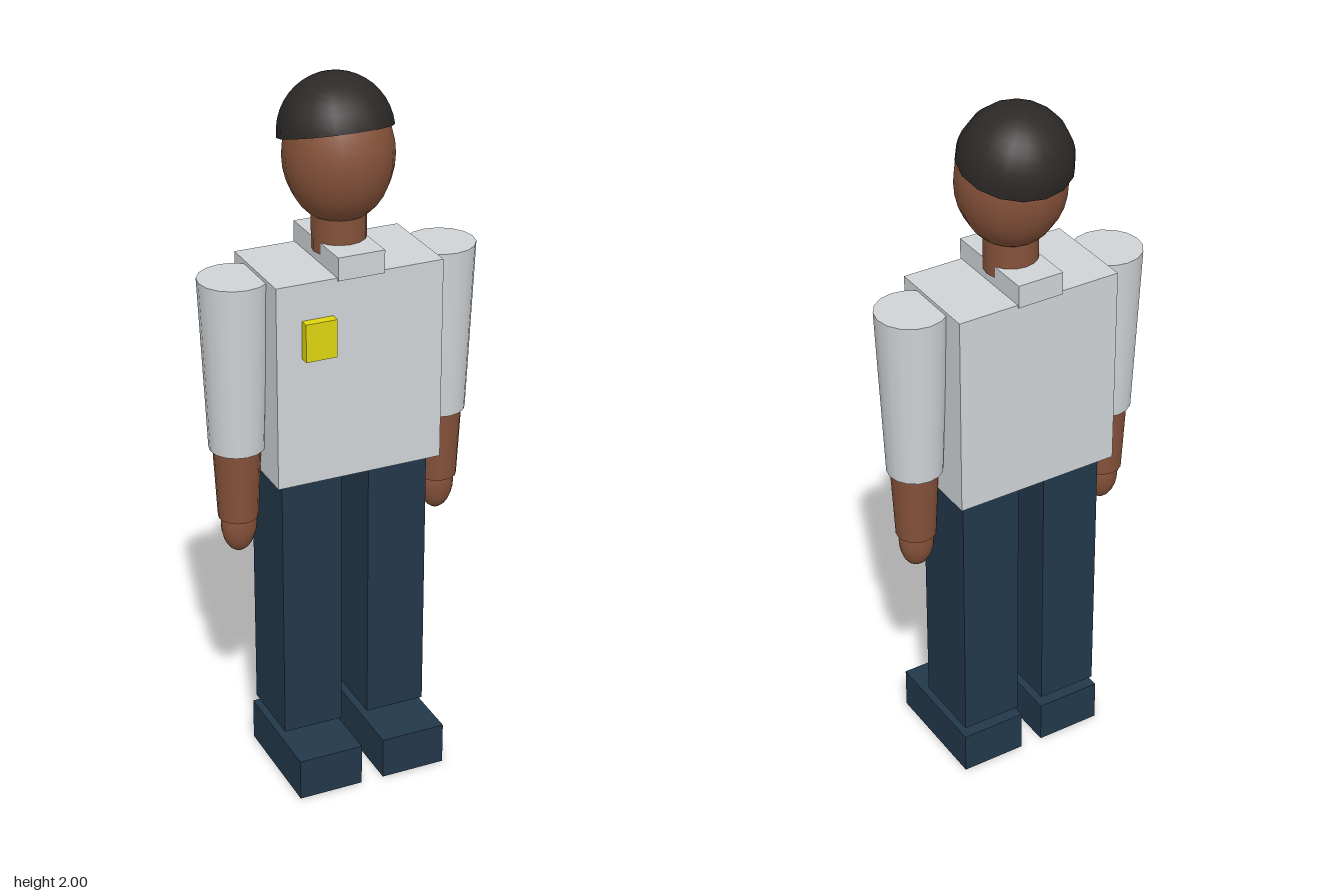
import * as THREE from 'three';

const mat = (color) => new THREE.MeshStandardMaterial({ color });

export function createModel() {
  const model = new THREE.Group();
  model.name = 'standingMan';

  const shirt = mat(0xcfd4d7);
  const skin = mat(0x85523a);
  const navy = mat(0x22384a);
  const hairMat = mat(0x2c2927);
  const yellow = mat(0xdfd510);

  function add(name, geometry, material, x, y, z) {
    const mesh = new THREE.Mesh(geometry, material);
    mesh.name = name;
    mesh.position.set(x, y, z);
    model.add(mesh);
    return mesh;
  }

  // Box given by its limits on each axis
  function box(name, material, [x0, x1], [y0, y1], [z0, z1]) {
    return add(name, new THREE.BoxGeometry(x1 - x0, y1 - y0, z1 - z0), material,
      (x0 + x1) / 2, (y0 + y1) / 2, (z0 + z1) / 2);
  }

  // Upright tapered cylinder between two heights
  function taper(name, material, rTop, rBottom, y0, y1, x, z) {
    return add(name, new THREE.CylinderGeometry(rTop, rBottom, y1 - y0, 16), material,
      x, (y0 + y1) / 2, z);
  }

  // Torso, collar strip and chest badge
  box('torso', shirt, [-0.237, 0.237], [0.936, 1.51], [-0.168, 0.108]);
  box('collar', shirt, [-0.066, 0.066], [1.503, 1.567], [-0.172, 0.113]);
  box('badge', yellow, [-0.166, -0.078], [1.302, 1.408], [0.105, 0.135]);

  // Neck and egg-shaped head
  taper('neck', skin, 0.073, 0.073, 1.535, 1.66, 0, -0.028);
  add('head', new THREE.SphereGeometry(1, 16, 16), skin, 0, 1.79, -0.03)
    .scale.set(0.147, 0.182, 0.147);

  // Hair: half sphere tipped backwards, closed underneath by the head
  const hairMesh = add('hair',
    new THREE.SphereGeometry(1, 16, 10, 0, Math.PI * 2, 0, Math.PI / 2),
    hairMat, 0, 1.845, -0.047);
  hairMesh.scale.set(0.153, 0.155, 0.15);
  hairMesh.rotation.x = -0.28;
  hairMat.side = THREE.DoubleSide;

  for (const [side, s] of [['left', 1], ['right', -1]]) {
    // Arm: sleeve, forearm and rounded hand
    taper(side + 'Sleeve', shirt, 0.096, 0.076, 1.015, 1.5, s * 0.297, -0.03);
    taper(side + 'Forearm', skin, 0.066, 0.055, 0.808, 1.03, s * 0.298, -0.029);
    add(side + 'Hand', new THREE.SphereGeometry(1, 16, 12), skin, s * 0.297, 0.785, -0.029)
      .scale.set(0.05, 0.084, 0.042);

    // Leg and shoe, with a small gap at the ankle
    const span = (a, b) => (s > 0 ? [a, b] : [-b, -a]);
    box(side + 'Leg', navy, span(0.04, 0.213), [0.146, 0.94], [-0.133, 0.074]);
    box(side + 'Shoe', navy, span(0.033, 0.22), [0, 0.122], [-0.143, 0.196]);
  }

  return model;
}
